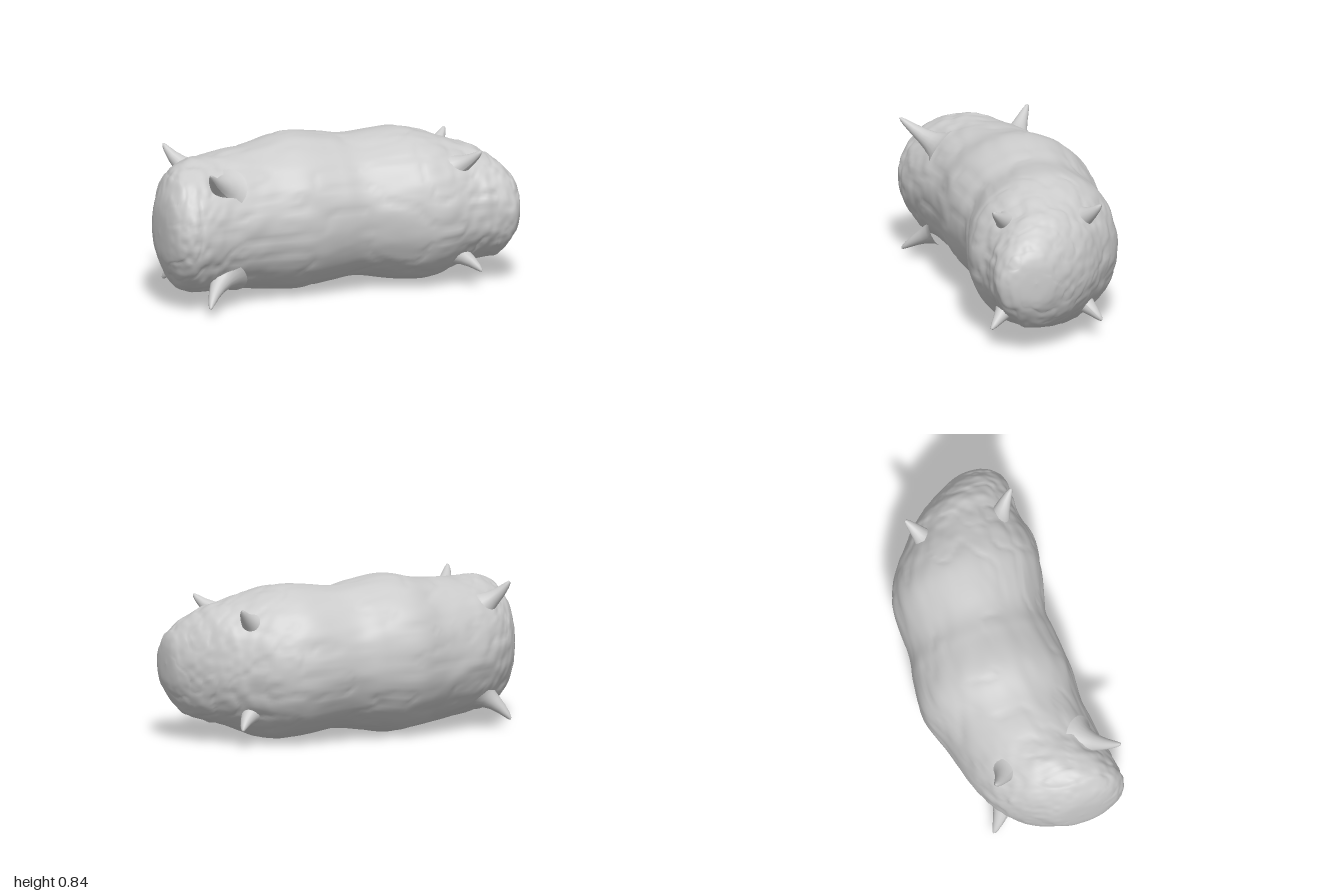
import * as THREE from 'three';

// Body outline along its length: x, back z, front z, bottom y, top y
const SECTIONS = [
  [-1, 0.17, 0.17, 0.42, 0.42], [-0.992, 0.05, 0.3, 0.29, 0.56], [-0.96, -0.03, 0.385, 0.2, 0.66],
  [-0.9, -0.15, 0.435, 0.115, 0.74], [-0.8, -0.245, 0.43, 0.07, 0.775], [-0.65, -0.32, 0.4, 0.055, 0.785],
  [-0.4, -0.39, 0.37, 0.03, 0.805], [-0.2, -0.453, 0.38, 0.003, 0.845], [0, -0.44, 0.36, 0.03, 0.825],
  [0.15, -0.412, 0.35, 0.045, 0.805], [0.4, -0.415, 0.41, 0.01, 0.83], [0.55, -0.37, 0.42, 0.02, 0.8],
  [0.7, -0.265, 0.39, 0.08, 0.75], [0.8, -0.18, 0.385, 0.11, 0.72], [0.9, -0.06, 0.385, 0.15, 0.65],
  [0.965, 0.05, 0.35, 0.24, 0.58], [0.992, 0.11, 0.29, 0.31, 0.52], [1, 0.19, 0.19, 0.42, 0.42],
];

// Seeded lattice value and smooth 3D noise in -1..1
function lattice(x, y, z) {
  let h = Math.imul(x, 374761393) ^ Math.imul(y, 668265263) ^ Math.imul(z, 2147483647 - 9871);
  h = Math.imul(h ^ (h >>> 13), 1274126177);
  h = Math.imul(h ^ (h >>> 15), 2246822519);
  return ((h ^ (h >>> 16)) >>> 0) / 2147483648 - 1;
}
function noise(x, y, z) {
  const [i, j, k] = [x, y, z].map(Math.floor);
  const [u, v, w] = [x - i, y - j, z - k].map((t) => t * t * (3 - 2 * t));
  const mix = THREE.MathUtils.lerp;
  const row = (b, c) => mix(lattice(i, j + b, k + c), lattice(i + 1, j + b, k + c), u);
  return mix(mix(row(0, 0), row(1, 0), v), mix(row(0, 1), row(1, 1), v), w);
}

// Wrinkled skin: stretched lengthwise in the middle, lumpy towards the ends
function skin(x, y, z) {
  const s = 4 * x + 5 * x * x * x;
  const end = THREE.MathUtils.smoothstep(Math.abs(x), 0.35, 0.85);
  const lumps = noise(s, y * 13, z * 13) * 0.005 + noise(s * 2 + 9, y * 27, z * 27) * 0.004 * (0.4 + end);
  const crease = Math.pow(1 - Math.abs(noise(s * 0.7 + 40, y * 9 + 7, z * 9)), 10) * 0.006;
  return lumps - crease;
}

// Bent cushion lofted through the sections
function bodyGeometry(rings = 180, sides = 120) {
  const low = new THREE.CatmullRomCurve3(SECTIONS.map((s) => new THREE.Vector3(s[0], s[3], s[1])), false, 'catmullrom', 0.5);
  const high = new THREE.CatmullRomCurve3(SECTIONS.map((s) => new THREE.Vector3(s[0], s[4], s[2])), false, 'catmullrom', 0.5);
  const positions = [];
  const indices = [];
  for (let i = 0; i <= rings; i++) {
    const a = low.getPoint(i / rings);
    const b = high.getPoint(i / rings);
    const c = a.clone().add(b).multiplyScalar(0.5);
    const ry = Math.max(0, (b.y - a.y) / 2);
    const rz = Math.max(0, (b.z - a.z) / 2);
    for (let j = 0; j < sides; j++) {
      const t = (j / sides) * Math.PI * 2;
      const cy = Math.cos(t);
      const cz = Math.sin(t);
      const d = skin(a.x, c.y + ry * cy, c.z + rz * cz) * Math.min(1, ry / 0.12);
      positions.push(a.x, c.y + (ry + d) * cy, c.z + (rz + d) * cz);
      if (i < rings) {
        const p = i * sides + j;
        const q = i * sides + ((j + 1) % sides);
        indices.push(p, q, p + sides, q, q + sides, p + sides);
      }
    }
  }
  const geometry = new THREE.BufferGeometry();
  geometry.setAttribute('position', new THREE.Float32BufferAttribute(positions, 3));
  geometry.setIndex(indices);
  geometry.computeVertexNormals();
  return geometry;
}

// Pinched corner tip with a flared foot, bending slightly from base to tip
function spikeGeometry(base, tip, bend) {
  const profile = [[0.115, -0.04], [0.085, 0.04], [0.058, 0.2], [0.042, 0.4], [0.03, 0.62], [0.018, 0.85], [0.009, 0.97], [0, 1]];
  const axis = tip.clone().sub(base);
  const length = axis.length();
  const geometry = new THREE.LatheGeometry(profile.map(([r, h]) => new THREE.Vector2(r, h * length)), 20);
  const p = geometry.attributes.position;
  const turn = new THREE.Quaternion().setFromUnitVectors(new THREE.Vector3(0, 1, 0), axis.normalize());
  const v = new THREE.Vector3();
  for (let i = 0; i < p.count; i++) {
    v.fromBufferAttribute(p, i);
    const h = v.y / length;
    v.applyQuaternion(turn).add(base).addScaledVector(bend, h * (1 - h));
    p.setXYZ(i, v.x, v.y, v.z);
  }
  geometry.computeVertexNormals();
  return geometry;
}

export function createModel() {
  const model = new THREE.Group();
  model.name = 'cushion';
  const material = new THREE.MeshStandardMaterial({ color: 0xcccccc });
  const add = (name, geometry) => {
    const mesh = new THREE.Mesh(geometry, material);
    mesh.name = name;
    model.add(mesh);
  };
  add('body', bodyGeometry());

  // Eight corner spikes: tip x, y, z then base x, y, z
  const spikes = {
    rightUpperFront: [-0.81, 0.78, 0.45, -0.66, 0.65, 0.27],
    rightLowerFront: [-0.81, 0.05, 0.44, -0.66, 0.18, 0.27],
    rightUpperBack: [-0.82, 0.79, -0.255, -0.69, 0.65, -0.15],
    rightLowerBack: [-0.82, 0.05, -0.265, -0.69, 0.18, -0.16],
    leftUpperFront: [0.75, 0.75, 0.36, 0.62, 0.645, 0.24],
    leftLowerFront: [0.75, 0.1, 0.37, 0.62, 0.19, 0.24],
    leftUpperBack: [0.76, 0.745, -0.23, 0.63, 0.64, -0.14],
    leftLowerBack: [0.76, 0.1, -0.235, 0.63, 0.19, -0.14],
  };
  for (const [name, [tx, ty, tz, bx, by, bz]] of Object.entries(spikes)) {
    const bend = new THREE.Vector3(Math.sign(tx) * 0.05, ty > 0.4 ? -0.03 : 0.03, 0);
    add(name + 'Spike', spikeGeometry(new THREE.Vector3(bx, by, bz), new THREE.Vector3(tx, ty, tz), bend));
  }
  return model;
}
